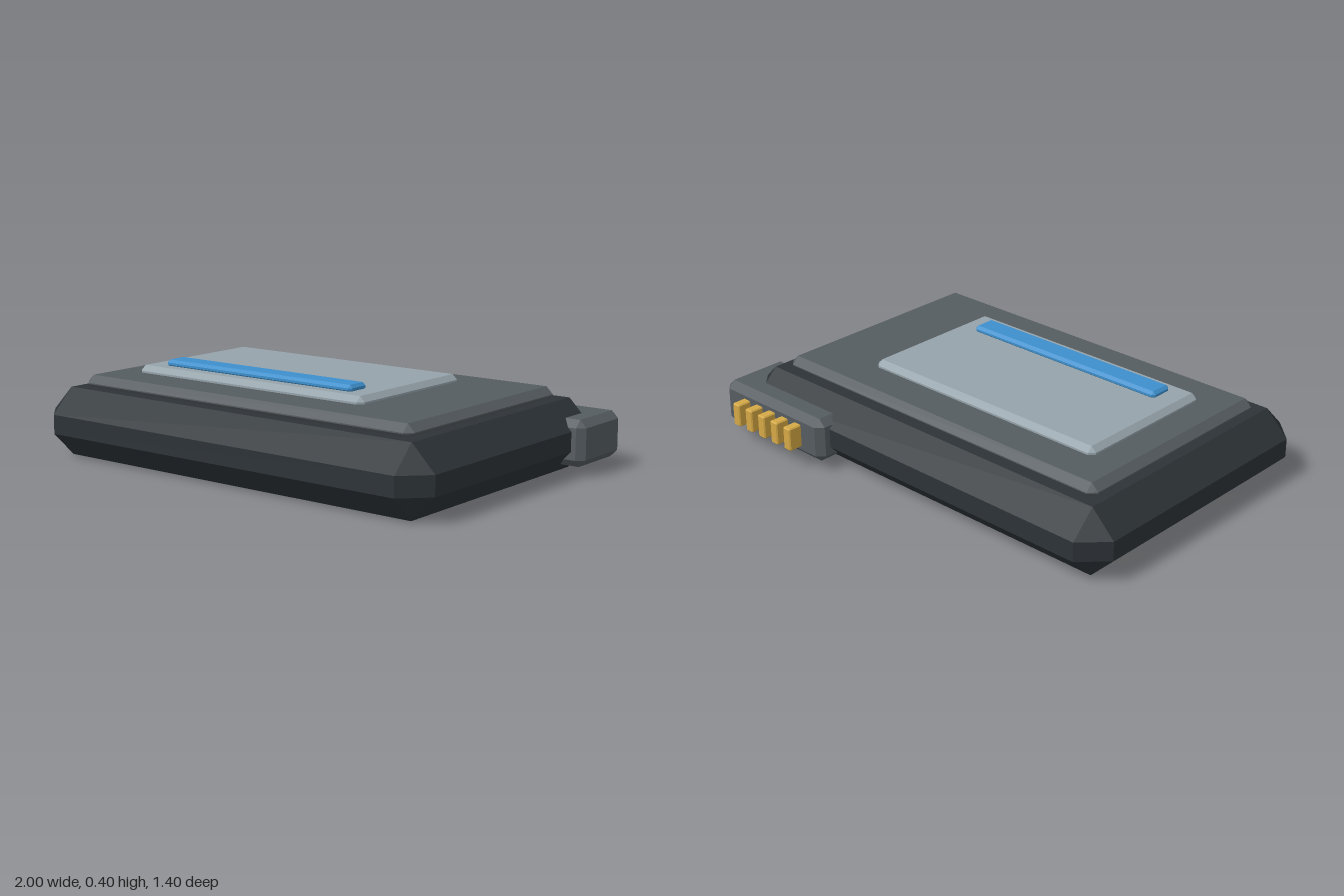
import * as THREE from 'three';
import { ConvexGeometry } from 'three/addons/geometries/ConvexGeometry.js';

// Box with every edge chamfered by b and every corner cut to a triangle
function chamferBox(w, h, d, b) {
  const pts = [];
  for (const sx of [-1, 1]) for (const sy of [-1, 1]) for (const sz of [-1, 1]) {
    for (let axis = 0; axis < 3; axis++) {
      const inset = [b, b, b];
      inset[axis] = 0;
      pts.push(new THREE.Vector3(
        sx * (w / 2 - inset[0]), sy * (h / 2 - inset[1]), sz * (d / 2 - inset[2])));
    }
  }
  return new ConvexGeometry(pts);
}

// Chamfered block spanning the given [min, max] ranges
function block(name, color, [x0, x1], [y0, y1], [z0, z1], bevel) {
  const material = new THREE.MeshStandardMaterial({ color, flatShading: true });
  const mesh = new THREE.Mesh(chamferBox(x1 - x0, y1 - y0, z1 - z0, bevel), material);
  mesh.position.set((x0 + x1) / 2, (y0 + y1) / 2, (z0 + z1) / 2);
  mesh.name = name;
  return mesh;
}

export function createModel() {
  const model = new THREE.Group();
  model.name = 'device';

  // Main casing and the stacked plates on its top
  model.add(
    block('casing', 0x2d3337, [-1, 0.95], [0, 0.287], [-0.59, 0.7], 0.103),
    block('topPlate', 0x555c60, [-0.865, 0.81], [0.27, 0.335], [-0.448, 0.558], 0.03),
    block('screen', 0x95a3aa, [-0.715, 0.46], [0.318, 0.37], [-0.275, 0.386], 0.022),
    block('lightBar', 0x3d8fcc, [-0.615, 0.36], [0.362, 0.395], [0.217, 0.322], 0.012),
  );

  // Connector block set into the back left corner
  const connector = new THREE.Group();
  connector.name = 'connector';
  connector.add(block('connectorHousing', 0x555c60, [0.4, 1], [0.04, 0.23], [-0.645, -0.332], 0.03));

  // Row of contact pins
  for (let i = 0; i < 5; i++) {
    const x = 0.535 + i * 0.08;
    connector.add(block(`pin${i + 1}`, 0xd4a845, [x - 0.021, x + 0.021], [0.085, 0.185], [-0.705, -0.6], 0.005));
  }
  model.add(connector);
  return model;
}
